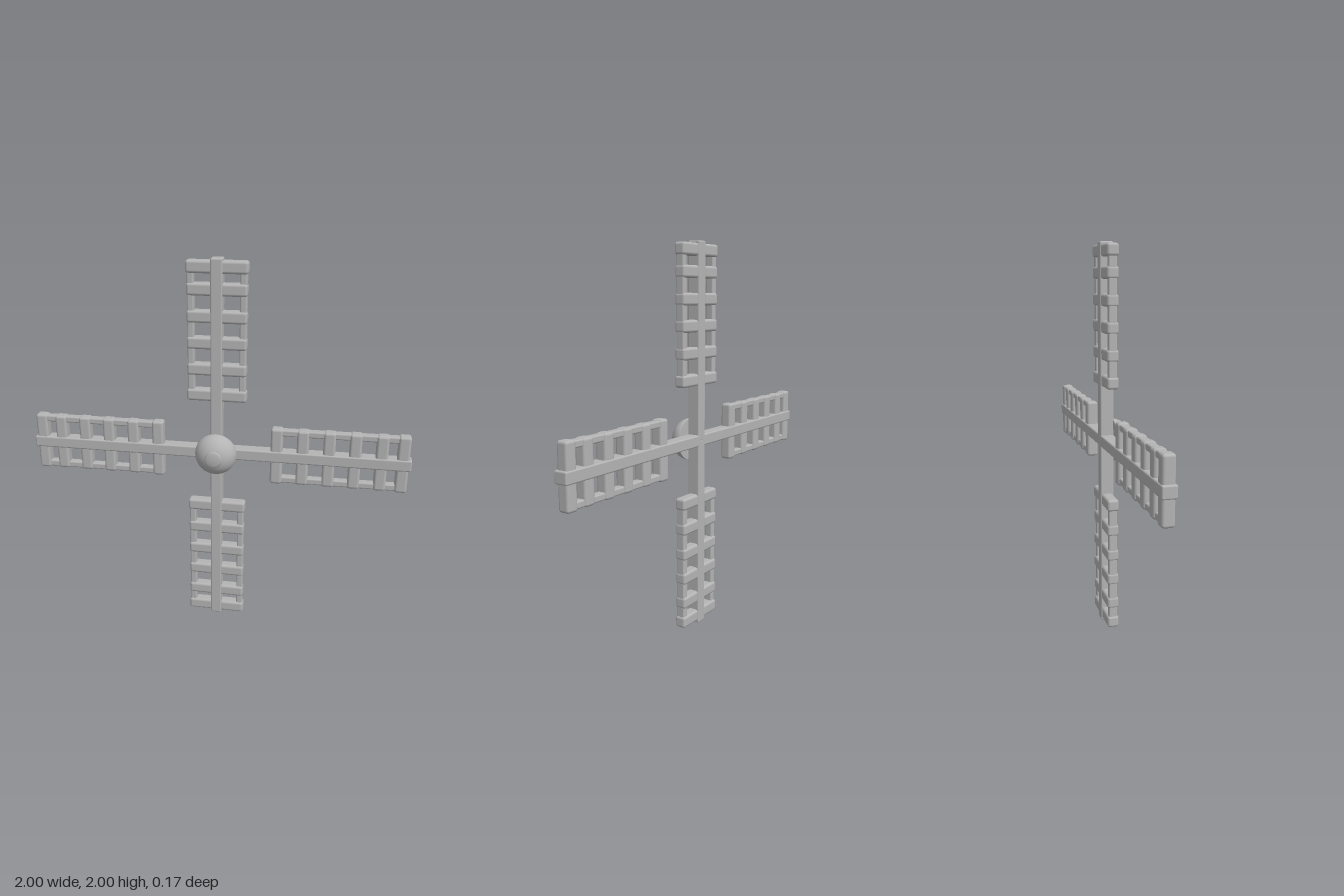
import * as THREE from 'three';
import { RoundedBoxGeometry } from 'three/addons/geometries/RoundedBoxGeometry.js';

export function createModel() {
  const group = new THREE.Group();
  group.name = 'windmillSails';
  const grey = new THREE.MeshStandardMaterial({ color: 0xb4b4b4 });
  grey.name = 'grey';
  const midZ = -0.045;

  function bar(name, w, h, d, x, y, parent, radius = 0.01) {
    const mesh = new THREE.Mesh(new RoundedBoxGeometry(w, h, d, 2, radius), grey);
    mesh.name = name;
    mesh.position.set(x, y, 0);
    parent.add(mesh);
  }

  // Four lattice sails around the hub
  const rungs = [0.315, 0.45, 0.585, 0.717, 0.85, 0.957];
  for (let i = 0; i < 4; i++) {
    const sail = new THREE.Group();
    sail.name = 'sail' + (i + 1);
    sail.position.set(0, 1, midZ);
    sail.rotation.z = i * Math.PI / 2;

    bar('spar', 0.06, 1, 0.07, 0, 0.5, sail, 0.008);
    for (const side of [-1, 1]) bar('sideRail', 0.034, 0.67, 0.044, side * 0.131, 0.637, sail, 0.008);
    rungs.forEach((r, k) => {
      const end = k === 0 || k === rungs.length - 1;
      bar(end ? 'endRung' : 'rung', end ? 0.308 : 0.302, 0.062, 0.06, 0, r, sail, 0.014);
    });
    group.add(sail);
  }

  // Domed hub, flat at the back
  const profile = [new THREE.Vector2(0, -0.012), new THREE.Vector2(0.108, -0.012)];
  for (let i = 0; i <= 12; i++) {
    const a = i / 12 * Math.PI / 2;
    profile.push(new THREE.Vector2(0.11 * Math.cos(a), -0.008 + 0.09 * Math.sin(a)));
  }
  const hub = new THREE.Mesh(new THREE.LatheGeometry(profile, 32), grey);
  hub.name = 'hub';
  hub.rotation.x = Math.PI / 2;
  hub.position.y = 1;
  group.add(hub);

  // Low button on the tip of the hub
  const cap = [[0.044, 0.06], [0.044, 0.078], [0.038, 0.082], [0.02, 0.085], [0, 0.086]];
  const button = new THREE.Mesh(
    new THREE.LatheGeometry(cap.map(([r, z]) => new THREE.Vector2(r, z)), 24), grey);
  button.name = 'hubButton';
  button.rotation.x = Math.PI / 2;
  button.position.y = 1;
  group.add(button);

  return group;
}
